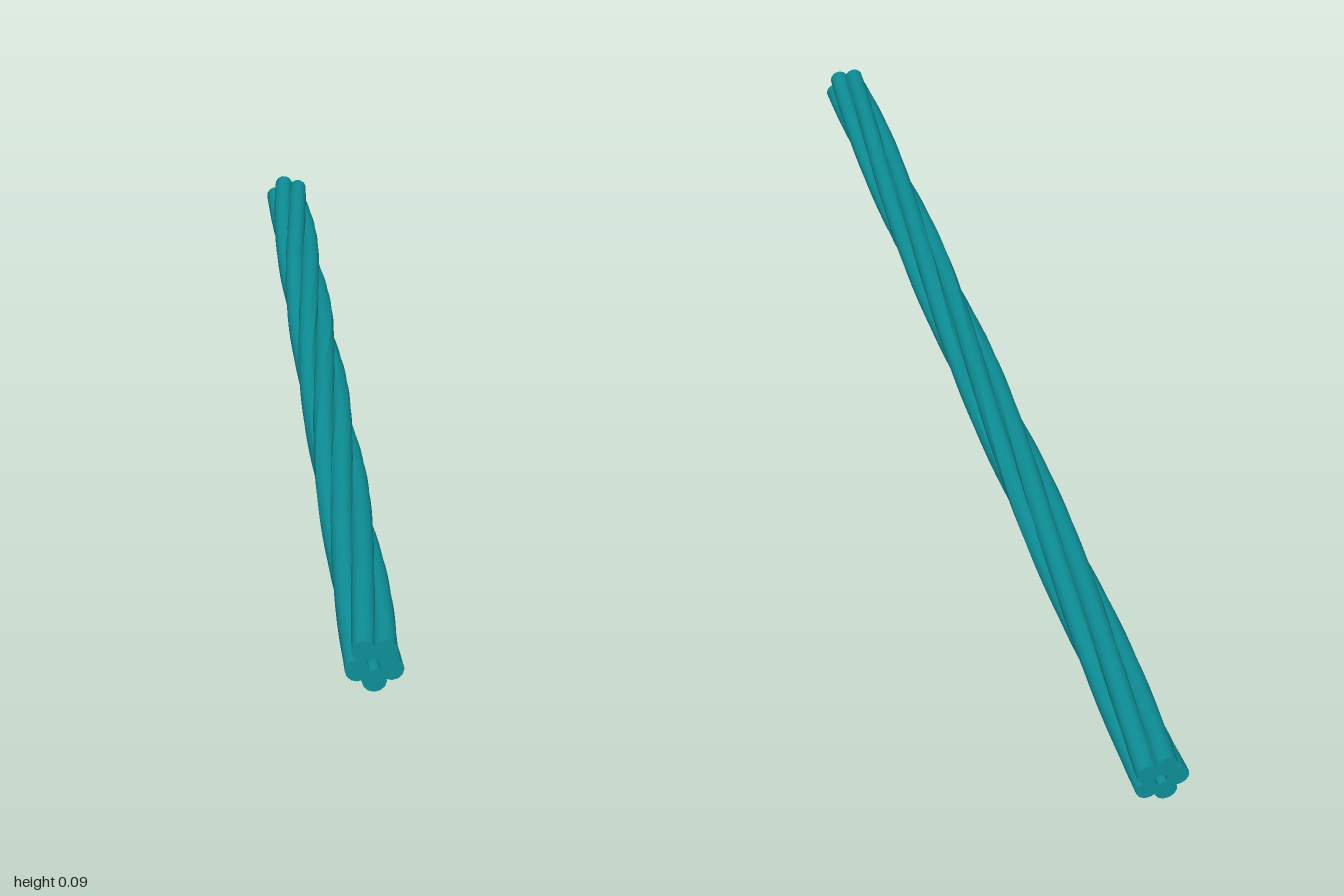
import * as THREE from 'three';

const STRANDS = 5;
const STRAND_R = 0.0175;  // radius of one strand
const ORBIT_R = 0.0255;   // distance of a strand from the rope's axis
const TURNS = 1.05;       // full twists over the length
const SEGMENTS = 48;
const SIDES = 12;

// Centre of the rope and twist angle at t = 0 (front) .. 1 (back)
function ropeCentre(t) {
  return new THREE.Vector3(-0.0075 + 0.015 * t, 0.0435 + 0.002 * t, 1 - 2 * t);
}

// One strand: a closed cylinder whose cross-sections stay flat in z and follow the helix
function strandGeometry(phase) {
  const geo = new THREE.CylinderGeometry(STRAND_R, STRAND_R, 1, SIDES, SEGMENTS);
  geo.rotateX(Math.PI / 2);
  const pos = geo.attributes.position;
  for (let i = 0; i < pos.count; i++) {
    const t = 0.5 - pos.getZ(i);
    const twist = -t * TURNS * Math.PI * 2;
    const c = ropeCentre(t);
    const x = pos.getX(i), y = pos.getY(i);
    const cos = Math.cos(twist), sin = Math.sin(twist);
    pos.setXYZ(i,
      c.x + ORBIT_R * Math.cos(phase + twist) + x * cos - y * sin,
      c.y + ORBIT_R * Math.sin(phase + twist) + x * sin + y * cos,
      c.z);
  }
  geo.computeVertexNormals();
  return geo;
}

export function createModel() {
  const rope = new THREE.Group();
  rope.name = 'twistedRope';
  const material = new THREE.MeshStandardMaterial({ color: 0x0d8f97 });
  for (let i = 0; i < STRANDS; i++) {
    const phase = Math.PI / 2 + Math.PI / STRANDS + (i / STRANDS) * Math.PI * 2;
    const strand = new THREE.Mesh(strandGeometry(phase), material);
    strand.name = `strand${i + 1}`;
    rope.add(strand);
  }
  return rope;
}
